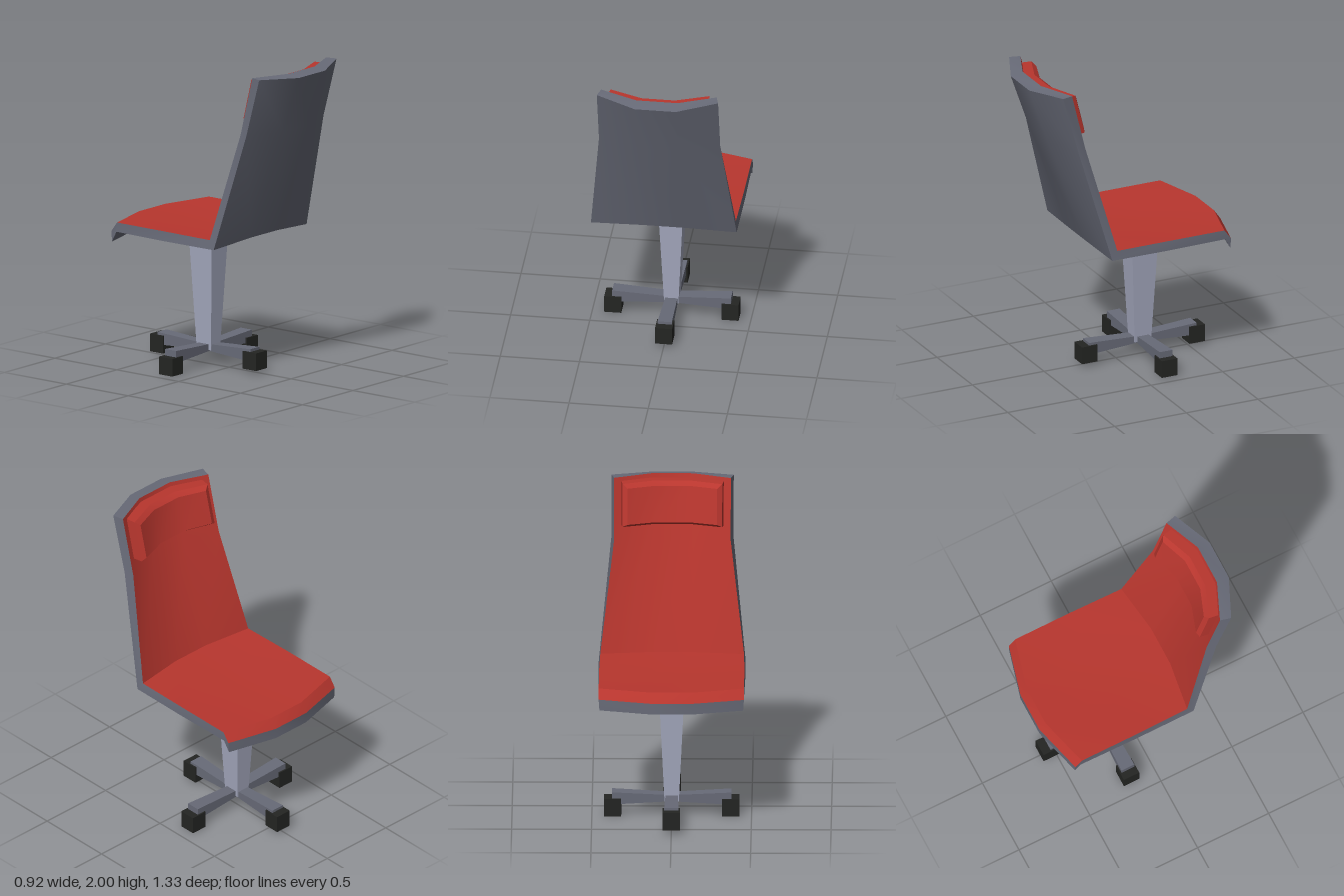
import * as THREE from 'three';
import { toCreasedNormals, mergeGeometries } from 'three/addons/utils/BufferGeometryUtils.js';

const paint = (name, color) => {
  const m = new THREE.MeshStandardMaterial({ color });
  m.name = name;
  return m;
};

// Sheet through rows of points; flip turns its front to the other side
function sheet(rows, flip = false) {
  const n = rows[0].length, index = [];
  for (let i = 0; i < rows.length - 1; i++) {
    for (let j = 0; j < n - 1; j++) {
      const a = i * n + j, b = a + 1, c = a + n, d = c + 1;
      if (flip) index.push(a, b, c, b, d, c);
      else index.push(a, c, b, b, c, d);
    }
  }
  const g = new THREE.BufferGeometry();
  g.setAttribute('position', new THREE.Float32BufferAttribute(rows.flat(2), 3));
  g.setIndex(index);
  return g;
}

// Mirrored four-point curve across the chair: outer edge and inner bend
const across = (m) => ([w, ye, ze, ym, zm]) =>
  [[-w, ye, ze], [-m, ym, zm], [m, ym, zm], [w, ye, ze]];

const creased = (...parts) => toCreasedNormals(mergeGeometries(parts), 0.55);

// Box whose cross-section changes linearly from its lower to its upper end
function taperedBox(length, bottom, top) {
  const g = new THREE.BoxGeometry(1, length, 1);
  const p = g.attributes.position;
  for (let i = 0; i < p.count; i++) {
    const s = p.getY(i) > 0 ? top : bottom;
    p.setX(i, p.getX(i) * s[0]);
    p.setZ(i, p.getZ(i) * s[1]);
  }
  g.computeVertexNormals();
  return g;
}

export function createModel() {
  const red = paint('red upholstery', 0xb8362e);
  const grey = paint('dark grey shell', 0x686b78);
  const steel = paint('light steel', 0xa4a8bd);
  const black = paint('black rubber', 0x242523);

  const group = new THREE.Group();
  group.name = 'swivelChair';
  const add = (name, geometry, material, x = 0, y = 0, z = 0) => {
    const mesh = new THREE.Mesh(geometry, material);
    mesh.name = name;
    mesh.position.set(x, y, z);
    group.add(mesh);
    return mesh;
  };

  // Seat and backrest sections, front lip to top: half width, edge y z, middle y z
  const inner = [
    [0.455, 0.875, -0.58, 0.875, -0.665],
    [0.455, 0.935, -0.535, 0.935, -0.622],
    [0.455, 0.935, -0.15, 0.918, -0.18],
    [0.45, 0.932, 0.21, 0.93, 0.255],
    [0.365, 1.62, 0.39, 1.62, 0.465],
    [0.365, 2.0, 0.485, 2.0, 0.585],
  ].map(across(0.13));
  const outer = [
    [0.45, 0.805, -0.58, 0.805, -0.665],
    [0.455, 0.875, -0.54, 0.872, -0.61],
    [0.46, 0.873, -0.15, 0.853, -0.17],
    [0.46, 0.875, 0.25, 0.9, 0.28],
    [0.383, 1.62, 0.45, 1.62, 0.54],
    [0.383, 2.0, 0.555, 1.985, 0.668],
  ].map(across(0.13));
  add('upholstery', creased(sheet(inner)), red);

  // Outer shell with side edges, front lip and top edge
  const wrap = outer.map((row, i) => [inner[i][0], ...row, inner[i][3]]);
  add('shell', creased(
    sheet(wrap, true),
    sheet([inner[0], outer[0]], true),
    sheet([inner[5], outer[5]]),
  ), grey);

  // Headrest: front face, chamfer and rim sunk into the backrest
  const headRows = [
    [[0.28, 1.73, 0.36, 1.73, 0.418], [0.28, 1.95, 0.415, 1.95, 0.48]],
    [[0.312, 1.713, 0.37, 1.713, 0.44], [0.312, 1.975, 0.435, 1.975, 0.515]],
    [[0.322, 1.708, 0.436, 1.708, 0.495], [0.322, 1.975, 0.502, 1.975, 0.585]],
  ].map((pair) => pair.map(across(0.105)));
  const rings = headRows.map(([low, high]) => [...low, ...[...high].reverse(), low[0]]);
  add('headrest', creased(sheet(rings, true), sheet(headRows[0])), red);

  // Column
  const cz = -0.168;
  add('column', taperedBox(0.77, [0.09, 0.115], [0.164, 0.19]), steel, 0, 0.485, cz);

  // Four legs growing thicker outwards, each ending in a block caster
  for (let i = 0; i < 4; i++) {
    const angle = (i * Math.PI) / 2;
    const leg = taperedBox(0.375, [0.04, 0.075], [0.08, 0.09]);
    leg.rotateZ(-Math.PI / 2).translate(0.1875, 0.115, 0);
    add('leg', leg, grey, 0, 0, cz).rotation.y = angle;
    const y = i % 2 ? 0.081 : 0.057;
    add('caster', new THREE.BoxGeometry(0.108, 0.113, 0.108), black,
      Math.cos(angle) * 0.37, y, cz - Math.sin(angle) * 0.375);
  }
  return group;
}
